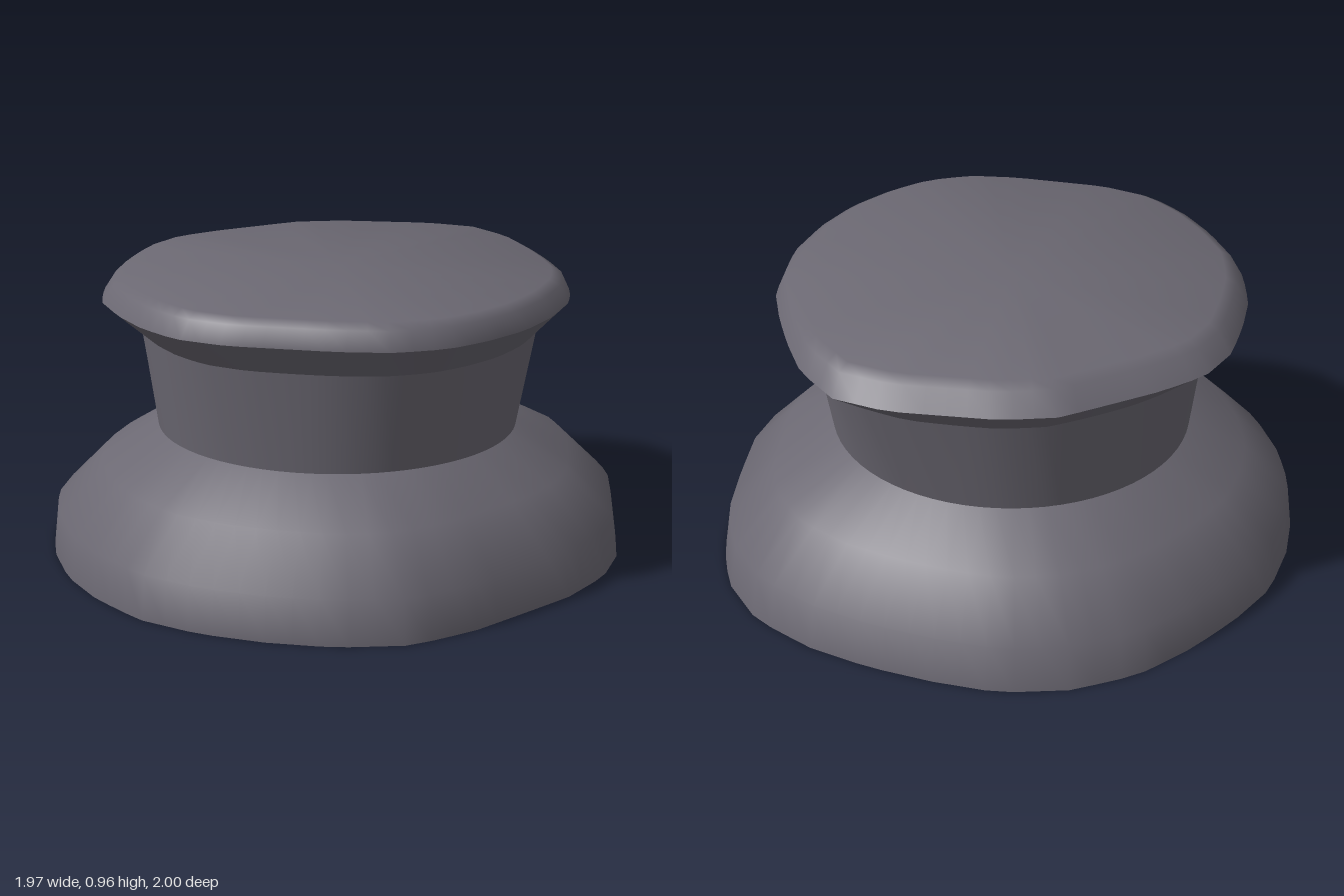
import * as THREE from 'three';
import { toCreasedNormals } from 'three/addons/utils/BufferGeometryUtils.js';

const SEGMENTS = 72;

// Uneven hand-cut outlines, as x, z points seen from above
const FOOT = [
  [0, -1], [0.22, -0.98], [0.44, -0.93], [0.66, -0.83], [0.82, -0.66], [0.91, -0.46], [0.95, -0.23],
  [0.98, 0], [0.96, 0.2], [0.87, 0.41], [0.75, 0.58], [0.62, 0.76], [0.45, 0.92], [0.22, 0.99],
  [0, 1], [-0.22, 0.98], [-0.44, 0.91], [-0.63, 0.77], [-0.78, 0.61], [-0.9, 0.4], [-0.97, 0.2],
  [-0.985, 0], [-0.965, -0.23], [-0.88, -0.43], [-0.77, -0.62], [-0.63, -0.8], [-0.44, -0.93], [-0.22, -1],
];
const HEAD = [
  [0.185, -0.82], [0.37, -0.79], [0.52, -0.66], [0.62, -0.5], [0.7, -0.35], [0.77, -0.19], [0.79, -0.02],
  [0.76, 0.19], [0.7, 0.37], [0.6, 0.53], [0.5, 0.64], [0.35, 0.72], [0.17, 0.75], [-0.18, 0.76],
  [-0.36, 0.72], [-0.5, 0.62], [-0.62, 0.49], [-0.73, 0.33], [-0.78, 0.15], [-0.79, -0.02],
  [-0.785, -0.2], [-0.73, -0.36], [-0.61, -0.49], [-0.47, -0.61], [-0.34, -0.72], [-0.17, -0.78],
];

// Distance from the axis to an outline in direction a
function radiusAt(outline, a) {
  const dx = Math.cos(a), dz = Math.sin(a);
  for (let i = 0; i < outline.length; i++) {
    const [px, pz] = outline[i], [qx, qz] = outline[(i + 1) % outline.length];
    const ex = qx - px, ez = qz - pz;
    const det = dx * ez - dz * ex;
    if (Math.abs(det) < 1e-9) continue;
    const r = (px * ez - pz * ex) / det;
    const t = (px * dz - pz * dx) / det;
    if (r > 0 && t >= -1e-6 && t <= 1 + 1e-6) return r;
  }
  return 1;
}

// One cross-section: an outline scaled, blended with a circle and shifted
function ring({ y, outline, scale = 1, circle = 0, round = 0, dx = 0, dz = 0 }) {
  return Array.from({ length: SEGMENTS }, (_, i) => {
    const a = (i / SEGMENTS) * Math.PI * 2;
    const r = radiusAt(outline, a) * scale * (1 - round) + circle * round;
    return new THREE.Vector3(Math.cos(a) * r + dx, y, Math.sin(a) * r + dz);
  });
}

// Skin over a stack of cross-sections, optionally closed on top
function loft(sections, capped, crease) {
  const rings = sections.map(ring);
  const pos = [];
  const tri = (...pts) => pts.forEach((p) => pos.push(p.x, p.y, p.z));
  for (let k = 0; k < rings.length - 1; k++) {
    const lo = rings[k], up = rings[k + 1];
    for (let i = 0; i < SEGMENTS; i++) {
      const j = (i + 1) % SEGMENTS;
      tri(lo[i], up[i], up[j]);
      tri(lo[i], up[j], lo[j]);
    }
  }
  if (capped) {
    const top = rings[rings.length - 1];
    const centre = new THREE.Vector3(0, top[0].y, 0);
    for (let i = 0; i < SEGMENTS; i++) tri(centre, top[(i + 1) % SEGMENTS], top[i]);
  }
  const geo = new THREE.BufferGeometry();
  geo.setAttribute('position', new THREE.Float32BufferAttribute(pos, 3));
  return toCreasedNormals(geo, crease);
}

export function createModel() {
  const group = new THREE.Group();
  group.name = 'knob';
  const grey = new THREE.MeshStandardMaterial({ color: 0x6b6872, side: THREE.DoubleSide });
  grey.name = 'dark grey';

  const neckBottom = { y: 0.43, outline: FOOT, circle: 0.615, round: 1 };
  const neckTop = { y: 0.77, outline: HEAD, scale: 0.855, circle: 0.66, round: 0.3, dx: 0.01 };

  const add = (name, sections, capped, crease) => {
    const mesh = new THREE.Mesh(loft(sections, capped, crease), grey);
    mesh.name = name;
    group.add(mesh);
  };

  // Flared hollow foot, open underneath
  add('foot', [
    { y: 0, outline: FOOT },
    { y: 0.15, outline: FOOT, scale: 0.98, dz: 0.01 },
    { y: 0.31, outline: FOOT, scale: 0.82, dz: 0.01 },
    neckBottom,
  ], false, 0.9);

  // Neck widening upwards
  add('neck', [neckBottom, neckTop], false, 0.7);

  // Flared head with a bevelled rim and flat top
  add('head', [
    neckTop,
    { y: 0.88, outline: HEAD },
    { y: 0.945, outline: HEAD, scale: 0.955, dx: 0.01, dz: 0.02 },
    { y: 0.965, outline: HEAD, scale: 0.91, dx: 0.01, dz: 0.02 },
  ], true, 0.9);

  return group;
}
